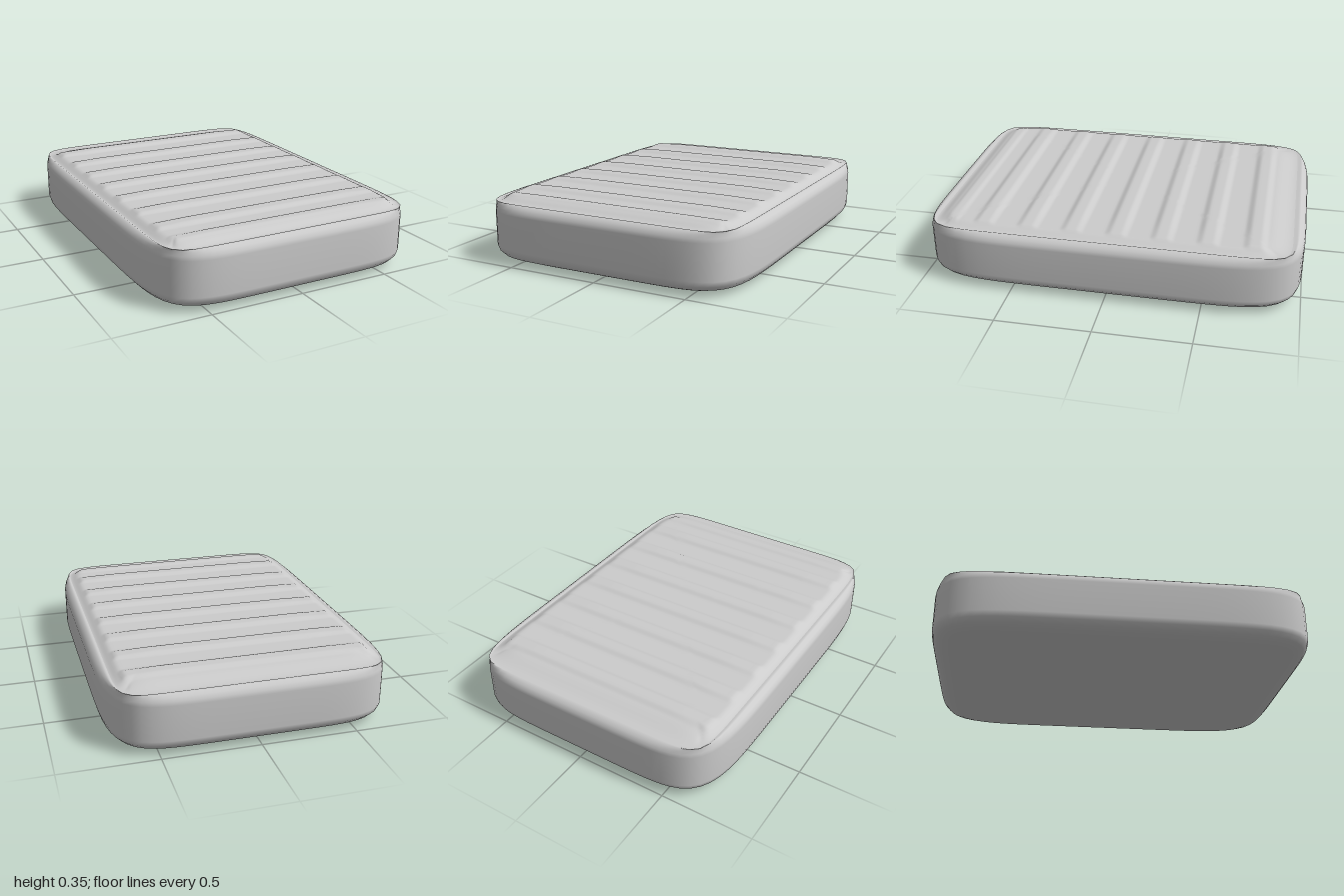
import * as THREE from 'three';

const HALF_X = 0.737, HALF_Z = 1;
const smooth = (v, a, b) => THREE.MathUtils.smoothstep(v, a, b);

// Smooth surface from a grid of points; wrap joins the last column to the first
function gridSurface(rows, cols, wrap, pointAt) {
  const pos = [], index = [];
  for (let r = 0; r < rows; r++) for (let c = 0; c < cols; c++) pos.push(...pointAt(r, c));
  for (let r = 0; r < rows - 1; r++) {
    for (let c = 0; c < (wrap ? cols : cols - 1); c++) {
      const c2 = (c + 1) % cols;
      const p = r * cols + c, q = r * cols + c2;
      index.push(p, p + cols, q, q, p + cols, q + cols);
    }
  }
  const geo = new THREE.BufferGeometry();
  geo.setAttribute('position', new THREE.Float32BufferAttribute(pos, 3));
  geo.setIndex(index);
  geo.computeVertexNormals();
  return geo;
}

// Mattress body: squarish rounded rings stacked as [inset, height, corner exponent]
function bodyGeometry() {
  const rings = [
    [0.737, 0, 7], [0.4, 0, 7], [0.25, 0.004, 7], [0.12, 0.01, 7], [0.065, 0.018, 7],
    [0.028, 0.034, 6.8], [0.008, 0.056, 6.6], [0, 0.085, 6.6], [0, 0.27, 6.6],
    [0.005, 0.29, 6.8], [0.016, 0.308, 7.5], [0.034, 0.32, 10], [0.046, 0.322, 13],
    [0.056, 0.317, 14], [0.09, 0.315, 14], [0.737, 0.315, 14],
  ];
  const segments = 128;
  return gridSurface(rings.length, segments, true, (r, c) => {
    const [inset, y, n] = rings[r];
    const angle = (c / segments) * Math.PI * 2;
    const u = Math.cos(angle), v = Math.sin(angle);
    const k = 1 / Math.pow(Math.abs(u) ** n + Math.abs(v) ** n, 1 / n);
    return [(HALF_X - inset) * u * k, y, (HALF_Z - inset) * v * k];
  });
}

// Cross ridges: [centre z, height, half width]
const ridges = [[0.83, 0.008, 0.045]];
for (let i = 0; i < 7; i++) ridges.push([-0.75 + i * 0.234, 0.014, 0.065]);

function panelHeight(x, z, edgeX, edgeFront, edgeBack) {
  const rise = smooth(edgeX, 0, 0.06) * smooth(edgeFront, 0, 0.07) * smooth(edgeBack, 0, 0.13);
  let y = 0.317 + 0.023 * rise;
  const ax = Math.abs(x);
  const ends = 0.65 * (1 - smooth(ax, 0.615, 0.645)) + 0.35 * (1 - smooth(ax, 0.42, 0.63));
  for (const [centre, height, halfWidth] of ridges) {
    y += height * ends * (1 - smooth(Math.abs(z - centre), halfWidth * 0.35, halfWidth));
  }
  return y;
}

// Quilted top: a square grid eased into a rounded rectangle, raised by ridges
function panelGeometry() {
  const a = 0.687, b = 0.935, n = 14, nx = 72, nz = 260;
  return gridSurface(nx + 1, nz + 1, false, (r, c) => {
    // Columns gather towards the sides, where the ridges end
    const s = Math.sin((r / nx - 0.5) * Math.PI);
    const t = (c / nz) * 2 - 1;
    const as = Math.abs(s), at = Math.abs(t);
    const norm = Math.pow(as ** n + at ** n, 1 / n);
    const k = norm > 0 ? Math.max(as, at) / norm : 1;
    const x = a * s * k, z = b * t * k;
    return [x, panelHeight(x, z, a * (1 - as), b * (1 - t), b * (1 + t)), z];
  });
}

export function createModel() {
  const group = new THREE.Group();
  group.name = 'mattress';
  const material = new THREE.MeshStandardMaterial({ color: 0xcccccc });

  const body = new THREE.Mesh(bodyGeometry(), material);
  body.name = 'mattressBody';

  // Row order runs along x and columns along z, so flip the faces to look up
  const geo = panelGeometry();
  const idx = geo.index.array;
  const p = geo.attributes.position;
  const [A, B, C] = [0, 1, 2].map((i) => new THREE.Vector3().fromBufferAttribute(p, idx[i]));
  if (B.sub(A).cross(C.sub(A)).y < 0) {
    for (let i = 0; i < idx.length; i += 3) [idx[i + 1], idx[i + 2]] = [idx[i + 2], idx[i + 1]];
    geo.computeVertexNormals();
  }
  const panel = new THREE.Mesh(geo, material);
  panel.name = 'quiltedTop';

  group.add(body, panel);
  return group;
}
